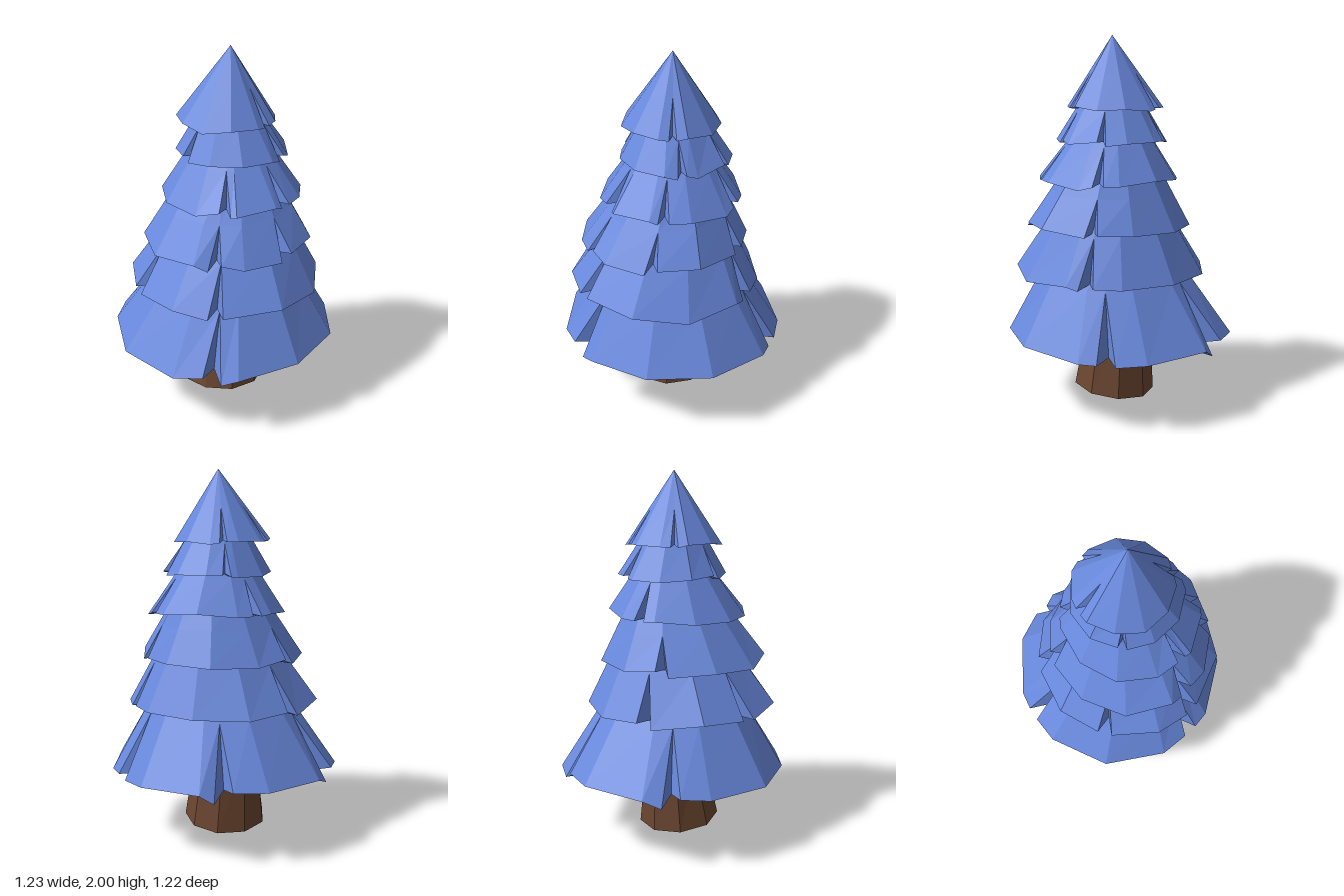
import * as THREE from 'three';

const needles = new THREE.MeshStandardMaterial({ color: 0x6888dc, flatShading: true });
const bark = new THREE.MeshStandardMaterial({ color: 0x6b4630, flatShading: true });
const RAD = Math.PI / 180;

// Small repeatable generator for the hand-cut irregularity, -1..1
function seeded(seed) {
  return () => {
    seed = (seed * 16807) % 2147483647;
    return (seed / 2147483647) * 2 - 1;
  };
}

// Skins columns of points (each listed bottom to top) and closes the underside with a fan
function skin(columns, bottom, top) {
  const pos = [];
  const tri = (a, b, c) => pos.push(...a, ...b, ...c);
  columns.forEach((p, i) => {
    const q = columns[(i + 1) % columns.length];
    for (let k = 0; k < p.length - 1; k++) {
      tri(p[k], p[k + 1], q[k]);
      tri(q[k], p[k + 1], q[k + 1]);
    }
    tri(bottom, p[0], q[0]);
    if (top) tri(top, q[q.length - 1], p[p.length - 1]);
  });
  const g = new THREE.BufferGeometry();
  g.setAttribute('position', new THREE.Float32BufferAttribute(pos, 3));
  g.computeVertexNormals();
  return g;
}

// One skirt of branches: a faceted cone with wedge-shaped notches cut up from its rim
function branchTier({ x, z, r, y, topY, topR, phase, notches, peak = 0.7, wobble = 0.02 }, seed) {
  const rnd = seeded(seed);
  const sides = 11;
  const half = 4.5;
  const rim = (a, s, dy) => [x + Math.cos(a * RAD) * r * s, y + dy, z + Math.sin(a * RAD) * r * s];
  const crown = (a) => [Math.cos(a * RAD) * topR, topY, 0.04 + Math.sin(a * RAD) * topR];
  const mix = (a, b, t) => a.map((v, i) => v + (b[i] - v) * t);
  const gap = (a, b) => Math.abs(((a - b + 540) % 360 + 360) % 360 - 180);

  const stations = [];
  for (let i = 0; i < sides; i++) {
    const a = phase + (i * 360) / sides;
    if (notches.some((n) => gap(n, a) < half + 3)) continue;
    const base = rim(a, 1 + rnd() * 0.015, rnd() * wobble);
    const tip = crown(a);
    stations.push({ a, col: [base, mix(base, tip, peak), tip] });
  }
  for (const n of notches) {
    const tip = crown(n);
    const mid = mix(rim(n, 0.97, 0), tip, peak);
    const dy = rnd() * wobble;
    stations.push({ a: n - half, col: [rim(n - half, 0.98, dy), mid, tip] });
    stations.push({ a: n, col: [rim(n, 0.8, 0.01), mid, tip] });
    stations.push({ a: n + half, col: [rim(n + half, 0.98, -dy), mid, tip] });
  }
  const turn = (a) => ((a % 360) + 360) % 360;
  stations.sort((p, q) => turn(p.a) - turn(q.a));
  return skin(stations.map((s) => s.col), [x, y, z]);
}

// Trunk: tapering nine-sided stump with a slanted, bevelled foot
function trunkGeometry() {
  const rnd = seeded(77);
  const columns = [];
  for (let i = 0; i < 9; i++) {
    const a = ((i + 0.3) / 9) * Math.PI * 2;
    const c = Math.cos(a), s = Math.sin(a);
    const foot = 0.23 * (1 + rnd() * 0.03);
    columns.push([
      [-0.035 + c * foot, 0.045 - c * 0.018 + s * 0.022, 0.025 + s * foot],
      [-0.02 + c * 0.165, 0.42, s * 0.185],
    ]);
  }
  return skin(columns, [-0.06, 0, -0.05], [-0.02, 0.42, 0]);
}

const TIERS = [
  { x: 0, z: 0, r: 0.625, y: 0.375, topY: 0.85, topR: 0.33, phase: 6, notches: [-38, 25.5, 150, 254], wobble: 0.03 },
  { x: -0.04, z: 0.04, r: 0.525, y: 0.73, topY: 1.08, topR: 0.31, phase: 12, notches: [-84, 33, 150, 210] },
  { x: -0.045, z: 0.05, r: 0.455, y: 0.99, topY: 1.35, topR: 0.23, phase: 2, notches: [-92, 30, 100, 152], peak: 0.5 },
  { x: -0.01, z: 0.06, r: 0.38, y: 1.24, topY: 1.55, topR: 0.16, phase: 10, notches: [-74, 27, 97, 150], peak: 0.6 },
  { x: 0.015, z: 0.045, r: 0.3, y: 1.45, topY: 1.72, topR: 0.13, phase: 4, notches: [-50, 30, 85, 200], peak: 0.6, wobble: 0.012 },
  { x: -0.005, z: 0.018, r: 0.26, y: 1.62, topY: 2, topR: 0, phase: 8, notches: [-107, -40, 90], peak: 0.48, wobble: 0.012 },
];

export function createModel() {
  const tree = new THREE.Group();
  tree.name = 'pineTree';

  const trunk = new THREE.Mesh(trunkGeometry(), bark);
  trunk.name = 'trunk';
  tree.add(trunk);

  // Branch skirts, lowest to tip
  TIERS.forEach((tier, i) => {
    const mesh = new THREE.Mesh(branchTier(tier, 1000 + i * 517), needles);
    mesh.name = `branchTier${i + 1}`;
    tree.add(mesh);
  });
  return tree;
}
